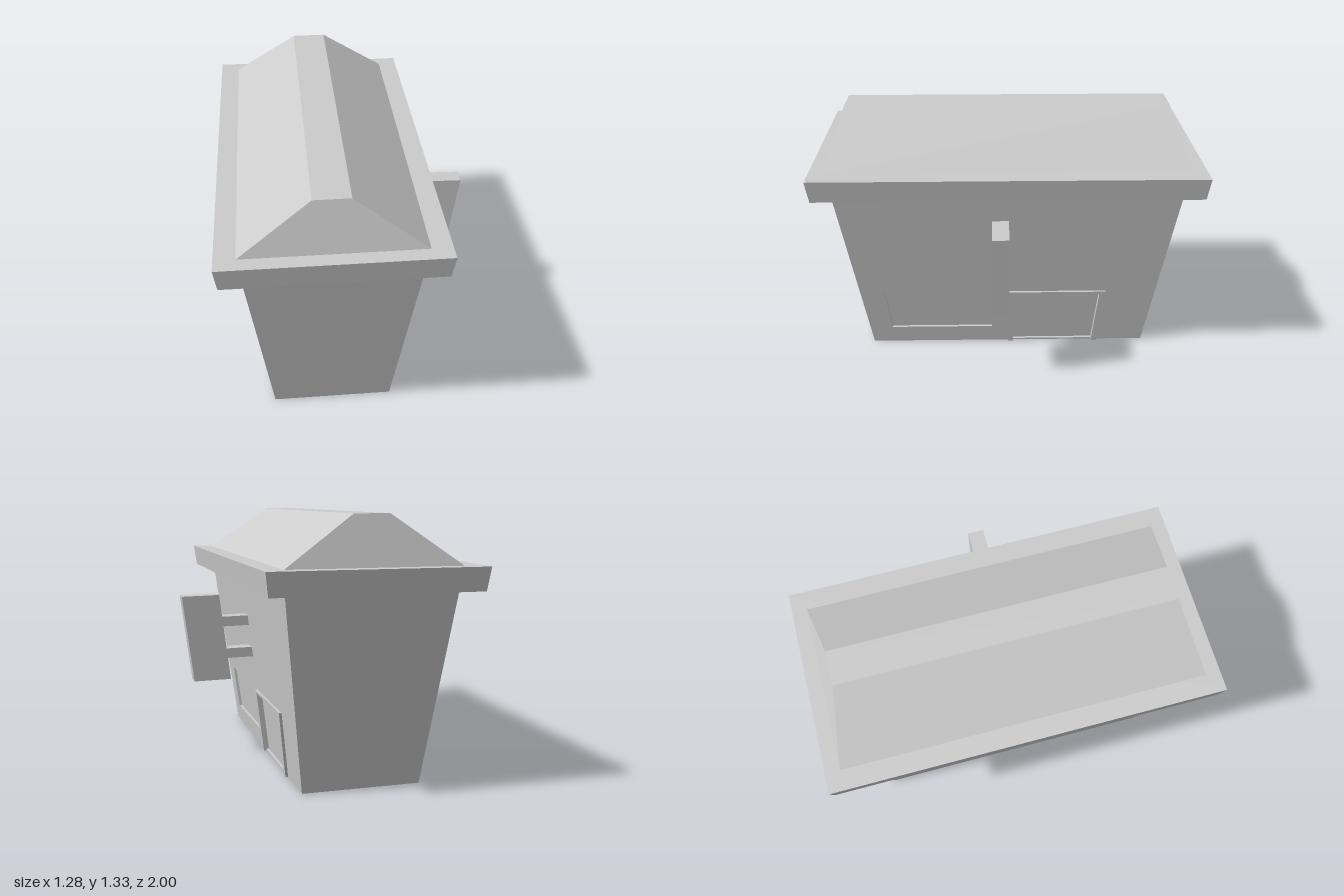
import * as THREE from 'three';

const material = new THREE.MeshStandardMaterial({ color: 0xcccccc, flatShading: true });

const WALL_DEPTH = 0.015;
// x of the sloping right-hand wall at height y
const wallX = (y) => 0.19 + (0.12 * y) / 0.97;

function part(name, geometry) {
  const mesh = new THREE.Mesh(geometry, material);
  mesh.name = name;
  return mesh;
}

// Box whose bottom and top rectangles differ: each is [y, xMin, xMax, zHalf]
function frustum(bottom, top) {
  const g = new THREE.BoxGeometry(1, 1, 1);
  const p = g.attributes.position;
  for (let i = 0; i < p.count; i++) {
    const [y, x0, x1, z] = p.getY(i) > 0 ? top : bottom;
    p.setXYZ(i, p.getX(i) > 0 ? x1 : x0, y, p.getZ(i) > 0 ? z : -z);
  }
  g.computeVertexNormals();
  return g;
}

const points = (list) => list.map(([a, b]) => new THREE.Vector2(a, b));

// Layer lying on the sloping wall; outline points are [z, y], from and to are offsets from the wall
function wallLayer(outline, holes, from, to) {
  const flip = (list) => points(list.map(([z, y]) => [-z, y]));
  const shape = new THREE.Shape(flip(outline));
  holes.forEach((h) => shape.holes.push(new THREE.Path(flip(h))));
  const g = new THREE.ExtrudeGeometry(shape, { depth: to - from, bevelEnabled: false });
  g.rotateY(Math.PI / 2);
  const p = g.attributes.position;
  for (let i = 0; i < p.count; i++) p.setX(i, p.getX(i) + from + wallX(p.getY(i)));
  g.computeVertexNormals();
  return g;
}

// Flat plate in the x-y plane with thickness along z
function plate(outline) {
  return new THREE.ExtrudeGeometry(new THREE.Shape(points(outline)), { depth: 0.085, bevelEnabled: false });
}

export function createModel() {
  const group = new THREE.Group();

  // Tapered building body, with the wall layer on its right-hand side
  group.add(part('body', frustum(
    [0, -0.41, wallX(0) - WALL_DEPTH, 0.755],
    [0.97, -0.53, wallX(0.97) - WALL_DEPTH, 0.9])));

  // Entrance wall with window and door recesses
  const windowHole = [[0.645, 0.1], [0.09, 0.1], [0.09, 0.34], [0.675, 0.34]];
  const doorHole = [[-0.03, 0.01], [-0.47, 0.01], [-0.5, 0.33], [-0.03, 0.33]];
  group.add(part('entranceWall', wallLayer(
    [[0.755, 0], [-0.755, 0], [-0.9, 0.97], [0.9, 0.97]],
    [windowHole, doorHole], -WALL_DEPTH, 0)));

  // Raised frame around the door, open at the ground
  group.add(part('doorFrame', wallLayer(
    [[0, 0], [0, 0.345], [-0.535, 0.345], [-0.5, 0], [-0.47, 0], [-0.5, 0.33], [-0.03, 0.33], [-0.03, 0]],
    [], -0.005, 0.014)));

  // Eaves slab and hipped roof
  group.add(part('eaves', frustum([0.97, -0.625, 0.405, 0.985], [1.085, -0.64, 0.42, 1])));
  group.add(part('roof', frustum([1.085, -0.54, 0.32, 0.925], [1.325, -0.2, -0.025, 0.85])));

  // Hanging sign on two brackets
  const sign = new THREE.Group();
  sign.name = 'sign';
  sign.add(part('signBoard', plate([[0.38, 0.413], [0.58, 0.41], [0.64, 0.873], [0.44, 0.877]])));
  for (const y of [0.533, 0.708]) {
    const x = wallX(y);
    sign.add(part('signBracket', plate([
      [x - 0.01, y], [x + 0.15, y - 0.003], [x + 0.15, y + 0.05], [x - 0.01, y + 0.053]])));
  }
  group.add(sign);

  return group;
}
